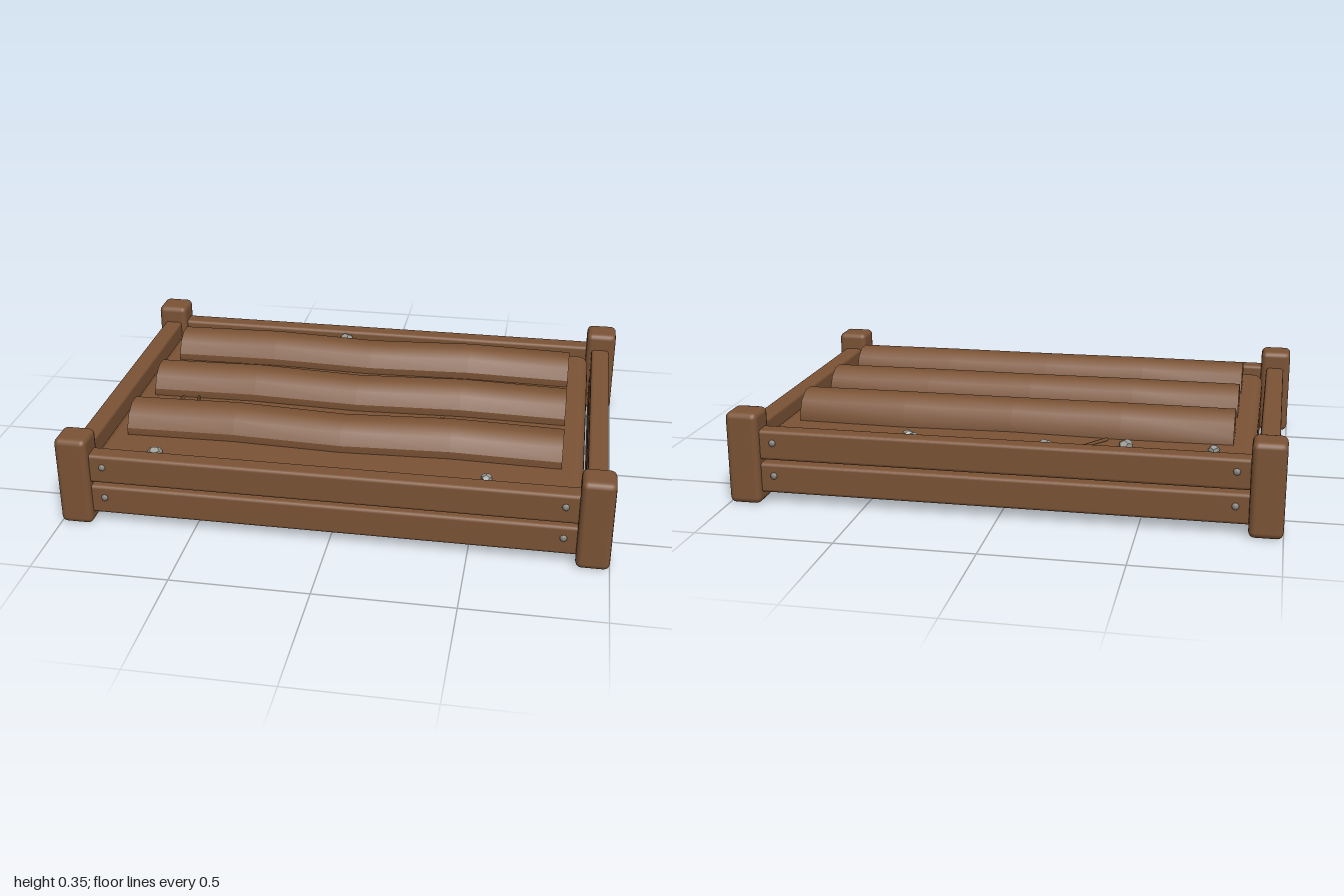
import * as THREE from 'three';
import { RoundedBoxGeometry } from 'three/addons/geometries/RoundedBoxGeometry.js';

const wood = new THREE.MeshStandardMaterial({ color: 0x7b5335 });
wood.name = 'brown wood and earth';
const stone = new THREE.MeshStandardMaterial({ color: 0x9a9a94, flatShading: true });
stone.name = 'grey stone';
const metal = new THREE.MeshStandardMaterial({ color: 0x85827c });
metal.name = 'grey metal';

const SOIL_TOP = 0.25;

function add(parent, name, geometry, material, x, y, z) {
  const mesh = new THREE.Mesh(geometry, material);
  mesh.name = name;
  mesh.position.set(x, y, z);
  parent.add(mesh);
  return mesh;
}

// Long mound of earth: a cylinder half sunk in the soil, gently waved along its length
function ridgeGeometry() {
  const geo = new THREE.CylinderGeometry(1, 1, 1.62, 12, 4);
  geo.rotateY(Math.PI / 12);
  geo.rotateZ(Math.PI / 2);
  const pos = geo.attributes.position;
  const sway = [0, -0.009, 0.008, -0.01, 0];
  const height = [0.104, 0.108, 0.102, 0.108, 0.104];
  for (let i = 0; i < pos.count; i++) {
    const s = Math.round((pos.getX(i) + 0.81) / 0.405);
    pos.setY(i, pos.getY(i) * height[s]);
    pos.setZ(i, pos.getZ(i) * 0.099 + sway[s]);
  }
  geo.computeVertexNormals();
  return geo;
}

export function createModel() {
  const group = new THREE.Group();
  group.name = 'raisedGardenBed';

  // Corner posts
  const postGeo = new RoundedBoxGeometry(0.12, 0.345, 0.122, 2, 0.022);
  for (const sx of [-1, 1]) for (const sz of [-1, 1]) {
    add(group, 'cornerPost', postGeo, wood, sx * 0.94, 0.1725, sz * 0.638);
  }

  // Two tiers of planks on every side, bolted at the front and back
  const longGeo = new RoundedBoxGeometry(1.8, 0.113, 0.072, 2, 0.013);
  const shortGeo = new RoundedBoxGeometry(0.072, 0.113, 1.2, 2, 0.013);
  const boltGeo = new THREE.SphereGeometry(0.013, 8, 6);
  for (const y of [0.096, 0.221]) {
    for (const s of [-1, 1]) {
      add(group, 'longPlank', longGeo, wood, 0, y, s * 0.637);
      add(group, 'endPlank', shortGeo, wood, s * 0.938, y, 0);
      for (const sx of [-1, 1]) {
        add(group, 'bolt', boltGeo, metal, sx * 0.833, y + 0.01, s * 0.673).scale.z = 0.7;
      }
    }
  }

  // Soil and its planting ridges
  add(group, 'soil', new RoundedBoxGeometry(1.78, 0.19, 1.185, 3, 0.04), wood, 0, SOIL_TOP - 0.095, 0);
  const ridgeGeo = ridgeGeometry();
  for (const z of [-0.345, 0, 0.345]) add(group, 'soilRidge', ridgeGeo, wood, 0, SOIL_TOP, z);

  // Pebbles: x, z, radius
  const pebbles = [
    [-0.745, -0.513, 0.022], [-0.435, -0.523, 0.03], [-0.155, -0.577, 0.03],
    [0.332, -0.567, 0.02], [0.358, -0.546, 0.024], [-0.665, 0.567, 0.03], [0.55, 0.556, 0.023],
  ];
  const pebbleGeo = new THREE.DodecahedronGeometry(1);
  pebbles.forEach(([x, z, r], i) => {
    const pebble = add(group, 'pebble', pebbleGeo, stone, x, SOIL_TOP + 0.004, z);
    pebble.scale.set(r, r * 0.75, r * 0.92);
    pebble.rotation.y = i * 1.3;
  });

  // Twigs lying on the soil: x and z of both ends
  const twigs = [
    [-0.36, -0.47, -0.28, -0.575], [-0.78, -0.155, -0.655, -0.203], [-0.45, -0.107, -0.365, -0.203],
    [-0.22, -0.16, -0.08, -0.155], [-0.695, 0.214, -0.69, 0.1], [-0.6, 0.208, -0.632, 0.09],
    [-0.555, 0.235, -0.4, 0.144], [0.337, 0.123, 0.465, 0.166], [0.519, 0.24, 0.572, 0.134],
  ];
  for (const [x1, z1, x2, z2] of twigs) {
    const dir = new THREE.Vector3(x2 - x1, 0, z2 - z1);
    const geo = new THREE.CylinderGeometry(0.005, 0.007, dir.length(), 6);
    const twig = add(group, 'twig', geo, wood, (x1 + x2) / 2, SOIL_TOP + 0.005, (z1 + z2) / 2);
    twig.quaternion.setFromUnitVectors(new THREE.Vector3(0, 1, 0), dir.normalize());
  }

  return group;
}
